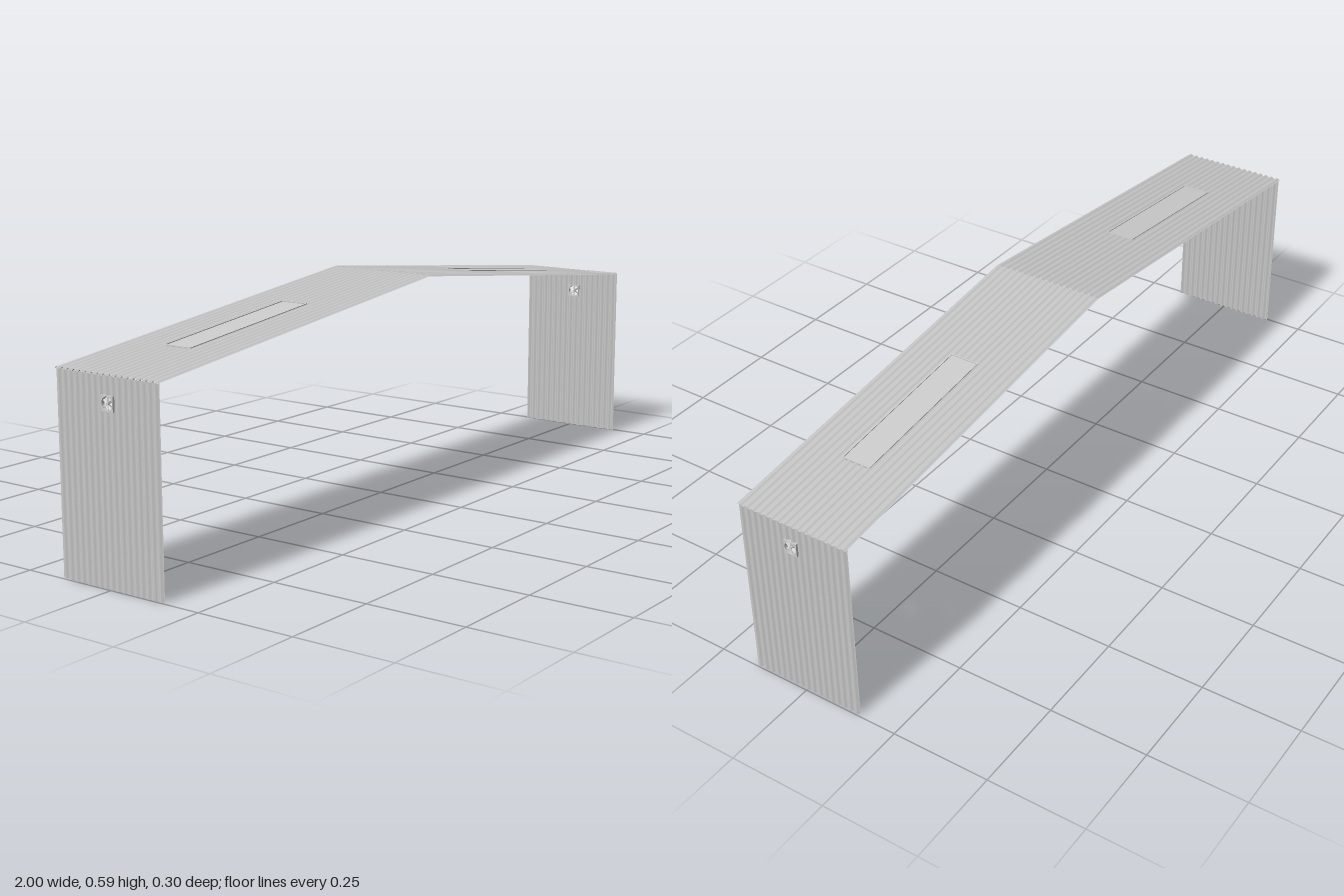
import * as THREE from 'three';

const HALF = 0.15, WAVES = 17, STEPS = 8;
const grey = new THREE.MeshStandardMaterial({ color: 0xcccccc });
const sheetMat = new THREE.MeshStandardMaterial({ color: 0xcccccc, side: THREE.DoubleSide });

function add(parent, name, geo, mat = grey) {
  const mesh = new THREE.Mesh(geo, mat);
  mesh.name = name;
  parent.add(mesh);
  return mesh;
}

// Corrugated sheet from point a to point b (x, y), rippled across z, with one
// rectangular opening: t0..t1 along the sheet, z0..z1 across it
function corrugated(a, b, amp, hole) {
  const [t0, t1, z0, z1] = hole;
  const dir = b.clone().sub(a);
  const n = new THREE.Vector2(-dir.y, dir.x).normalize();
  const zs = [z0, z1];
  for (let i = 0; i <= WAVES * STEPS; i++) zs.push(-HALF + (2 * HALF * i) / (WAVES * STEPS));
  zs.sort((p, q) => p - q);
  const ts = [0, t0, t1, 1];
  const pos = [], index = [];
  for (const t of ts) {
    for (const z of zs) {
      const w = -amp * Math.cos(((z + HALF) / (2 * HALF)) * WAVES * 2 * Math.PI);
      pos.push(a.x + dir.x * t + n.x * w, a.y + dir.y * t + n.y * w, z);
    }
  }
  const m = zs.length;
  for (let i = 0; i < 3; i++) {
    for (let j = 0; j < m - 1; j++) {
      const zMid = (zs[j] + zs[j + 1]) / 2;
      if (i === 1 && zMid > z0 && zMid < z1) continue;
      const p = i * m + j, q = p + m;
      index.push(p, p + 1, q, p + 1, q + 1, q);
    }
  }
  const geo = new THREE.BufferGeometry();
  geo.setAttribute('position', new THREE.Float32BufferAttribute(pos, 3));
  geo.setIndex(index);
  geo.computeVertexNormals();
  return geo;
}

// Square fan housing with a round opening, hub and pitched blades, facing +z
function makeFan() {
  const fan = new THREE.Group();
  const h = 0.0175, depth = 0.009;
  const shape = new THREE.Shape([[-h, -h], [h, -h], [h, h], [-h, h]].map(p => new THREE.Vector2(...p)));
  shape.holes.push(new THREE.Path().absarc(0, 0, 0.0155, 0, Math.PI * 2, true));
  const housing = new THREE.ExtrudeGeometry(shape, { depth, bevelEnabled: false, curveSegments: 16 });
  housing.translate(0, 0, -depth / 2);
  add(fan, 'fanHousing', housing);
  add(fan, 'fanHub', new THREE.CylinderGeometry(0.003, 0.003, 0.007, 12).rotateX(Math.PI / 2));
  for (let i = 0; i < 6; i++) {
    const blade = new THREE.BoxGeometry(0.0135, 0.005, 0.0006);
    blade.rotateX(0.5).translate(0.0085, 0, 0).rotateZ((i * Math.PI) / 3 + Math.PI / 6);
    add(fan, 'fanBlade', blade);
  }
  return fan;
}

export function createModel() {
  const model = new THREE.Group();
  model.name = 'corrugatedShedSection';
  const V = (x, y) => new THREE.Vector2(x, y);
  const ridgeY = 0.584, eaveY = 0.475, slope = Math.atan(ridgeY - eaveY);
  const sky = { x0: 0.355, x1: 0.77, w: 0.037 };
  const fanY = 0.413, fanZ = 0.005, fanHalf = 0.017, wallTop = 0.474;

  for (const s of [1, -1]) {
    const side = new THREE.Group();
    side.name = s > 0 ? 'leftHalf' : 'rightHalf';
    model.add(side);

    // Roof slope, always run toward +x so that its outside faces up
    const ridge = V(0, ridgeY), eave = V(s, eaveY);
    const skyHole = s > 0 ? [sky.x0, sky.x1] : [1 - sky.x1, 1 - sky.x0];
    const roof = corrugated(s > 0 ? ridge : eave, s > 0 ? eave : ridge, 0.0025, [...skyHole, -sky.w, sky.w]);
    add(side, 'roofSheet', roof, sheetMat);

    // Wall, outside facing away from the centre
    const foot = V(s * 0.995, 0), top = V(s * 0.995, wallTop);
    const lo = (fanY - fanHalf) / wallTop, hi = (fanY + fanHalf) / wallTop;
    const fanHole = s > 0 ? [1 - hi, 1 - lo] : [lo, hi];
    const wall = corrugated(s > 0 ? top : foot, s > 0 ? foot : top, 0.003,
      [...fanHole, fanZ - fanHalf, fanZ + fanHalf]);
    add(side, 'wallSheet', wall, sheetMat);

    // Skylight pane with a slim frame, lying in the roof slope
    const skylight = new THREE.Group();
    skylight.name = 'skylight';
    const mid = (sky.x0 + sky.x1) / 2, len = (sky.x1 - sky.x0) / Math.cos(slope);
    skylight.position.set(s * mid, ridgeY - mid * (ridgeY - eaveY), 0);
    skylight.rotation.z = -s * slope;
    add(skylight, 'skylightPane', new THREE.BoxGeometry(len, 0.002, 2 * sky.w));
    for (const e of [1, -1]) {
      add(skylight, 'skylightSideRail', new THREE.BoxGeometry(len, 0.006, 0.003)).position.z = e * sky.w;
      add(skylight, 'skylightEndRail', new THREE.BoxGeometry(0.003, 0.006, 2 * sky.w)).position.x = e * len / 2;
    }
    side.add(skylight);

    // Extractor fan set in the wall opening
    const fan = makeFan();
    fan.name = 'extractorFan';
    fan.position.set(s * 0.9955, fanY, fanZ);
    fan.rotation.y = s * Math.PI / 2;
    side.add(fan);
  }
  return model;
}
